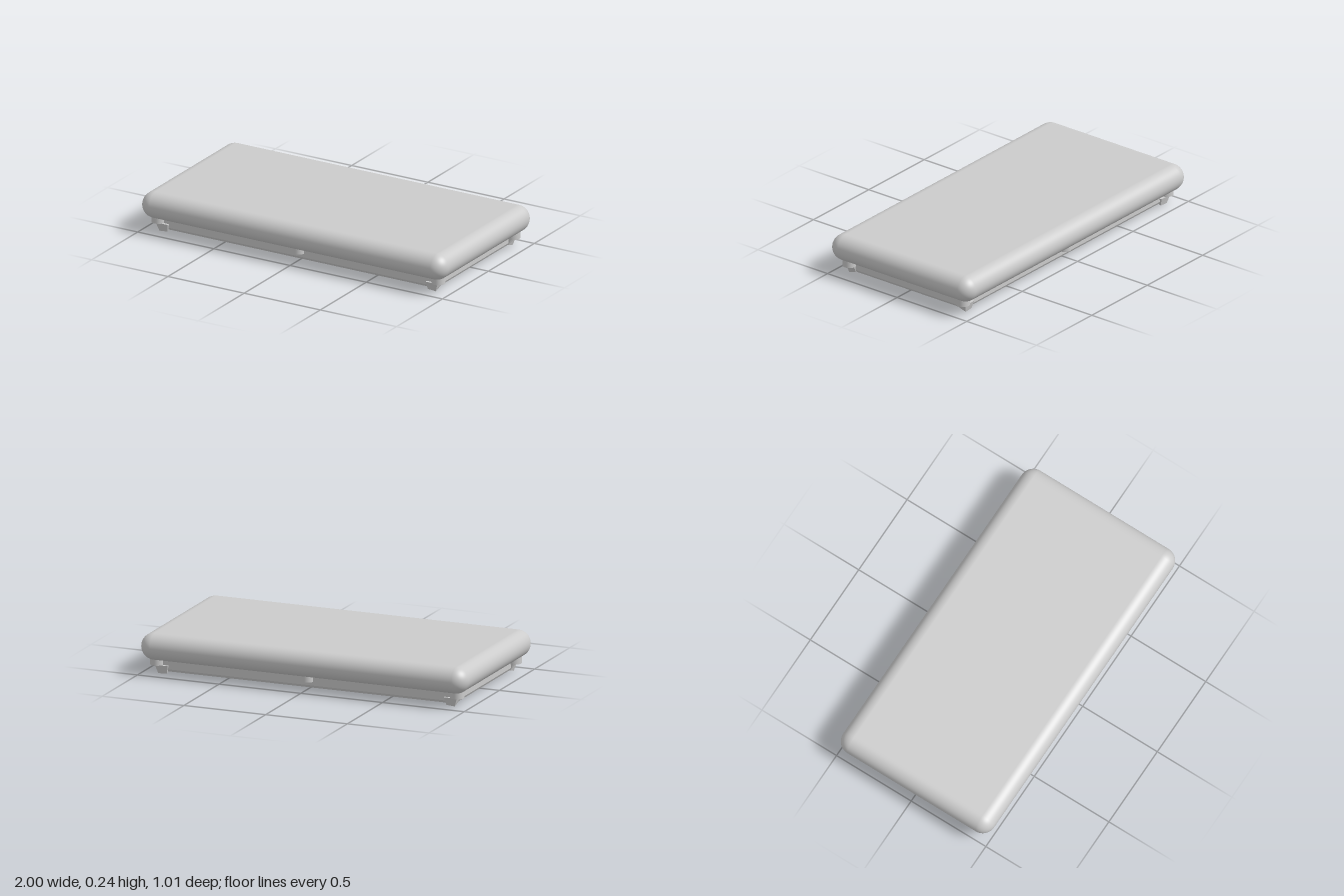
import * as THREE from 'three';
import { RoundedBoxGeometry } from 'three/addons/geometries/RoundedBoxGeometry.js';

const grey = new THREE.MeshStandardMaterial({ color: 0xcccccc });
const flatGrey = new THREE.MeshStandardMaterial({ color: 0xcccccc, flatShading: true });

function add(parent, name, geometry, material, x = 0, y = 0, z = 0) {
  const mesh = new THREE.Mesh(geometry, material);
  mesh.name = name;
  mesh.position.set(x, y, z);
  parent.add(mesh);
  return mesh;
}

// Box whose vertices are moved by a rule on the corner signs
function shapedBox(rule) {
  const geometry = new THREE.BoxGeometry(2, 2, 2);
  const p = geometry.attributes.position;
  for (let i = 0; i < p.count; i++) p.setXYZ(i, ...rule(p.getX(i), p.getY(i), p.getZ(i)));
  geometry.computeVertexNormals();
  return geometry;
}

export function createModel() {
  const model = new THREE.Group();
  model.name = 'cushionedSlab';

  // Thick slab with fully rounded sides
  add(model, 'roundedSlab', new RoundedBoxGeometry(2, 0.155, 1.014, 10, 0.0774), grey, 0, 0.16, 0);

  // Base tray, with a narrower bevelled underside
  add(model, 'baseTray', new THREE.BoxGeometry(1.82, 0.062, 0.83), flatGrey, 0, 0.059, 0);
  add(model, 'baseUnderside', shapedBox((x, y, z) => {
    const inset = y < 0 ? 0.008 : 0;
    return [x * (0.91 - inset), y < 0 ? 0.014 : 0.028, z * (0.415 - inset)];
  }), flatGrey);

  // Round mounts: one at each corner and one midway along each long side
  const mount = new THREE.CylinderGeometry(0.04, 0.04, 0.042, 32);
  for (const sz of [-1, 1]) {
    for (const sx of [-1, 0, 1]) {
      add(model, 'roundMount', mount, grey, sx * 0.918, 0.071, sz * 0.408);
    }
  }

  // Tapered corner feet, lowest at the outer corner
  for (const sx of [-1, 1]) {
    for (const sz of [-1, 1]) {
      const foot = shapedBox((x, y, z) => {
        const outX = x * sx > 0, outZ = z * sz > 0;
        if (y > 0) return [sx * (outX ? 0.924 : 0.845), 0.05, sz * (outZ ? 0.43 : 0.37)];
        const low = outZ ? (outX ? 0 : 0.004) : 0.015;
        return [sx * (outX ? 0.907 : 0.855), low, sz * (outZ ? 0.418 : 0.37)];
      });
      add(model, 'cornerFoot', foot, flatGrey);
    }
  }
  return model;
}
